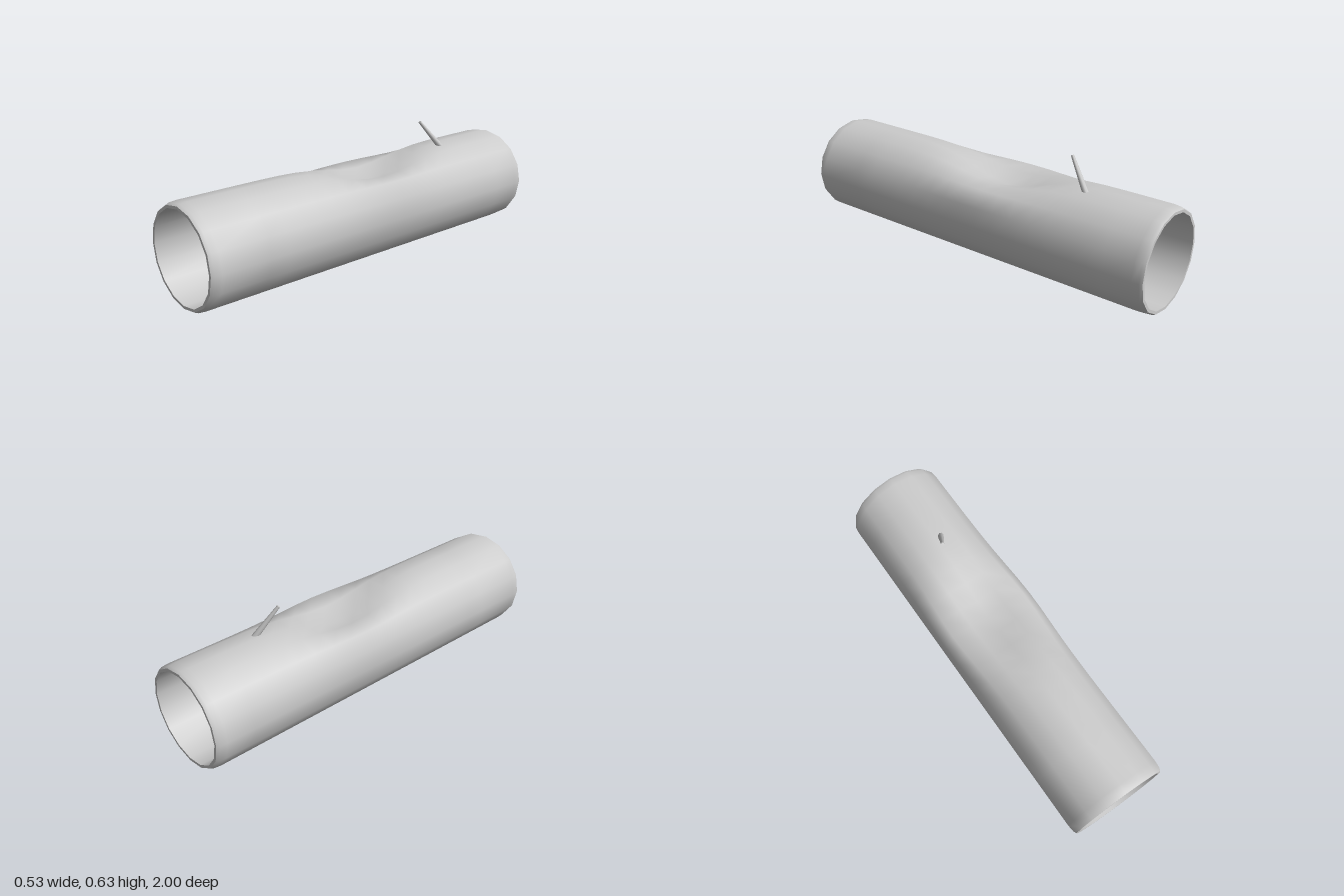
import * as THREE from 'three';
import { mergeVertices } from 'three/addons/utils/BufferGeometryUtils.js';

const SIDES = 16, CY = 0.2535, WIDEN = 1.045;
const DENT_Z = -0.1;

// Presses a hollow into the top of the log and pushes its shoulders outward.
function dent(p) {
  const along = Math.exp(-(((p.z - DENT_Z) / 0.27) ** 2));
  const r = Math.hypot(p.x, p.y);
  if (r < 1e-4) return;
  const fromTop = Math.abs(Math.atan2(p.x, p.y));
  const sink = Math.exp(-((fromTop / 0.5) ** 2));
  const shoulder = Math.exp(-(((fromTop - 0.95) / 0.3) ** 2));
  const side = Math.sign(p.x);
  p.y += along * (-0.115 * sink + 0.012 * shoulder);
  p.x += along * 0.03 * shoulder * side;
}

// Turns a profile of [radius, z] around the log's axis and dents it.
function turned(profile, name, material, smooth = true) {
  let g = new THREE.LatheGeometry(profile.map(([r, z]) => new THREE.Vector2(r, z)), SIDES);
  g.rotateX(Math.PI / 2);
  g.deleteAttribute('uv');
  g.deleteAttribute('normal');
  g = smooth ? mergeVertices(g, 1e-5) : g.toNonIndexed();
  const pos = g.attributes.position, p = new THREE.Vector3();
  for (let i = 0; i < pos.count; i++) {
    p.fromBufferAttribute(pos, i);
    p.x *= WIDEN;
    dent(p);
    pos.setXYZ(i, p.x, p.y + CY, p.z);
  }
  g.computeVertexNormals();
  const mesh = new THREE.Mesh(g, material);
  mesh.name = name;
  return mesh;
}

export function createModel() {
  const group = new THREE.Group();
  group.name = 'hollowLog';
  const wood = new THREE.MeshStandardMaterial({ color: 0xcccccc, side: THREE.DoubleSide });

  // Bark shell, with closer rings around the dent
  const bark = [[0.242, -1], [0.249, -0.985], [0.2525, -0.95]];
  for (let z = -0.8; z < 0.71; z += 0.1) bark.push([0.2525, z]);
  bark.push([0.2525, 0.95], [0.249, 0.985], [0.242, 1]);
  group.add(turned(bark, 'bark', wood));

  // Flat end rims
  group.add(turned([[0.242, 1], [0.228, 1]], 'frontRim', wood, false));
  group.add(turned([[0.228, -1], [0.242, -1]], 'backRim', wood, false));

  // Hollows at both ends, each closing in a rounded floor
  const hollow = (end, floor) => {
    const pts = [[0.228, end]];
    const s = Math.sign(end), depth = 0.15;
    for (let i = 0; i <= 6; i++) {
      const a = (i / 6) * Math.PI / 2;
      pts.push([0.228 * Math.cos(a), floor + s * depth * (1 - Math.sin(a))]);
    }
    pts[pts.length - 1][0] = 0;
    return s > 0 ? pts : pts.reverse();
  };
  group.add(turned(hollow(1, 0.3), 'frontHollow', wood));
  group.add(turned(hollow(-1, -0.42), 'backHollow', wood));

  // Twig leaning from the top
  const base = new THREE.Vector3(0.037, 0.485, -0.575);
  const tip = new THREE.Vector3(-0.013, 0.63, -0.465);
  const dir = tip.clone().sub(base);
  const twig = new THREE.Mesh(new THREE.CylinderGeometry(0.008, 0.016, dir.length(), 8), wood);
  twig.position.copy(base).add(tip).multiplyScalar(0.5);
  twig.quaternion.setFromUnitVectors(new THREE.Vector3(0, 1, 0), dir.normalize());
  twig.name = 'twig';
  group.add(twig);

  return group;
}
